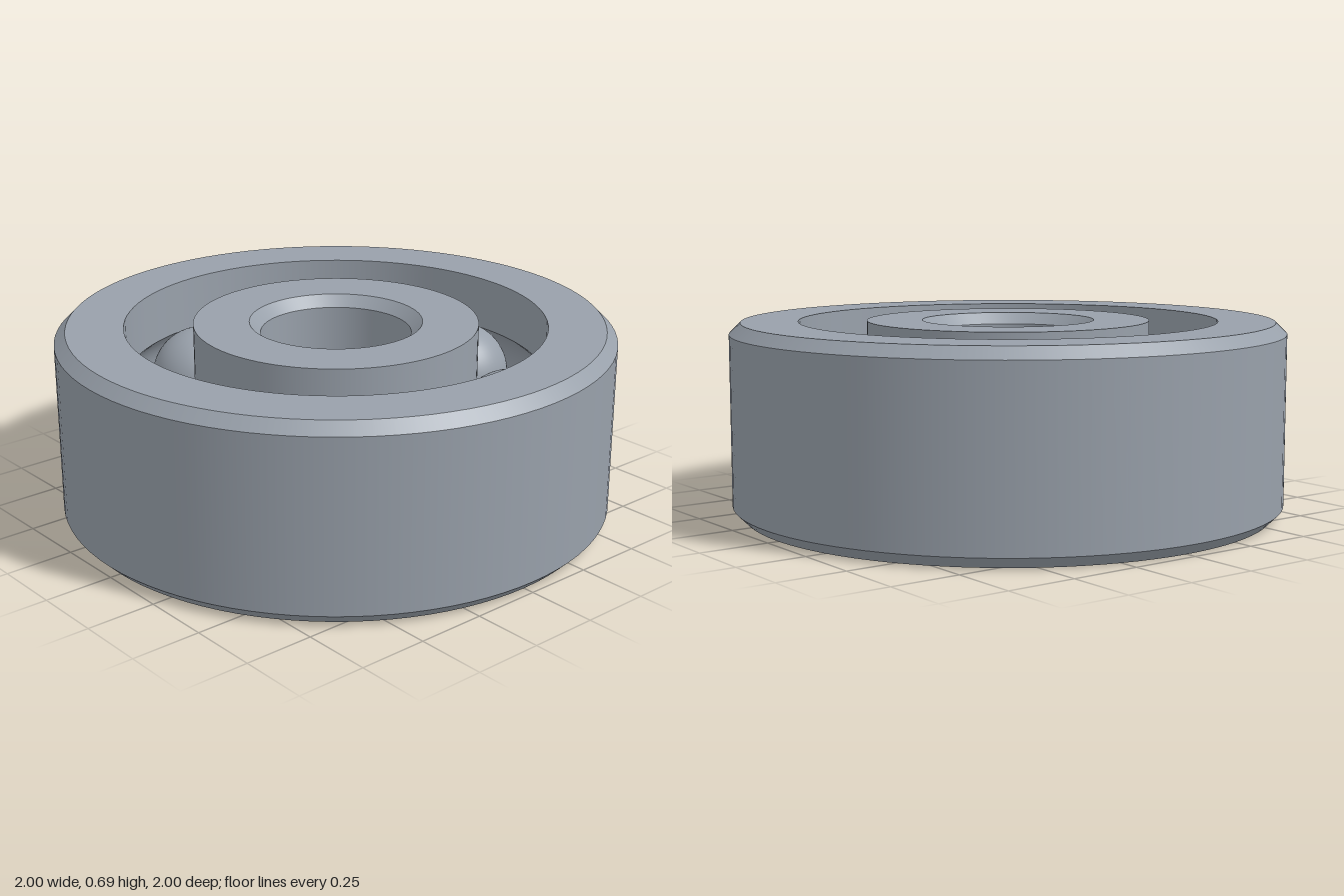
import * as THREE from 'three';
import { mergeGeometries } from 'three/addons/utils/BufferGeometryUtils.js';

const HEIGHT = 0.695, MID = HEIGHT / 2;
const CHAMFER = 0.04;
const PITCH = 0.634, BALL = 0.19, GROOVE = 0.193, BALLS = 7;
const OUTER_BORE = 0.755, INNER_RIM = 0.51;

// Points of the ball groove, cut into a cylinder wall of radius r, listed upwards
function groove(r) {
  const dx = r - PITCH;
  const half = Math.acos(Math.abs(dx) / GROOVE);
  const side = Math.sign(dx), points = [];
  for (let i = 0; i <= 16; i++) {
    const a = -half + (2 * half * i) / 16;
    points.push([PITCH + side * GROOVE * Math.cos(a), MID + GROOVE * Math.sin(a)]);
  }
  return points;
}

// Revolves each stretch on its own so the edges between stretches stay sharp
function ring(name, stretches, material) {
  const parts = stretches.map((s) =>
    new THREE.LatheGeometry(s.map(([r, y]) => new THREE.Vector2(r, y)), 96));
  const mesh = new THREE.Mesh(mergeGeometries(parts), material);
  mesh.name = name;
  return mesh;
}

// Straight stretches joining a list of corners
const edges = (corners) => corners.slice(1).map((p, i) => [corners[i], p]);

export function createModel() {
  const model = new THREE.Group();
  model.name = 'ballBearing';
  const steel = new THREE.MeshStandardMaterial({ color: 0x98a0aa });
  steel.name = 'steel grey';

  // Outer ring: chamfered outside, grooved inside
  const outerGroove = groove(OUTER_BORE).reverse();
  model.add(ring('outerRing', [
    ...edges([
      [OUTER_BORE, 0], [1 - CHAMFER, 0], [1, CHAMFER], [1, HEIGHT - CHAMFER],
      [1 - CHAMFER, HEIGHT], [OUTER_BORE, HEIGHT], outerGroove[0],
    ]),
    outerGroove,
    [outerGroove.at(-1), [OUTER_BORE, 0]],
  ], steel));

  // Inner ring: grooved outside, chamfered bore
  const innerGroove = groove(INNER_RIM);
  const bore = 0.27;
  model.add(ring('innerRing', [
    ...edges([[bore + CHAMFER, 0], [INNER_RIM, 0], innerGroove[0]]),
    innerGroove,
    ...edges([
      innerGroove.at(-1), [INNER_RIM, HEIGHT], [bore + CHAMFER, HEIGHT],
      [bore, HEIGHT - CHAMFER], [bore, CHAMFER], [bore + CHAMFER, 0],
    ]),
  ], steel));

  // Balls evenly spaced in the groove, the first almost straight at the back
  const balls = new THREE.Group();
  balls.name = 'balls';
  const ballGeometry = new THREE.SphereGeometry(BALL, 48, 32);
  for (let i = 0; i < BALLS; i++) {
    const a = 0.016 + (i * 2 * Math.PI) / BALLS;
    const ball = new THREE.Mesh(ballGeometry, steel);
    ball.name = `ball${i + 1}`;
    ball.position.set(-PITCH * Math.sin(a), MID, -PITCH * Math.cos(a));
    balls.add(ball);
  }
  model.add(balls);
  return model;
}
